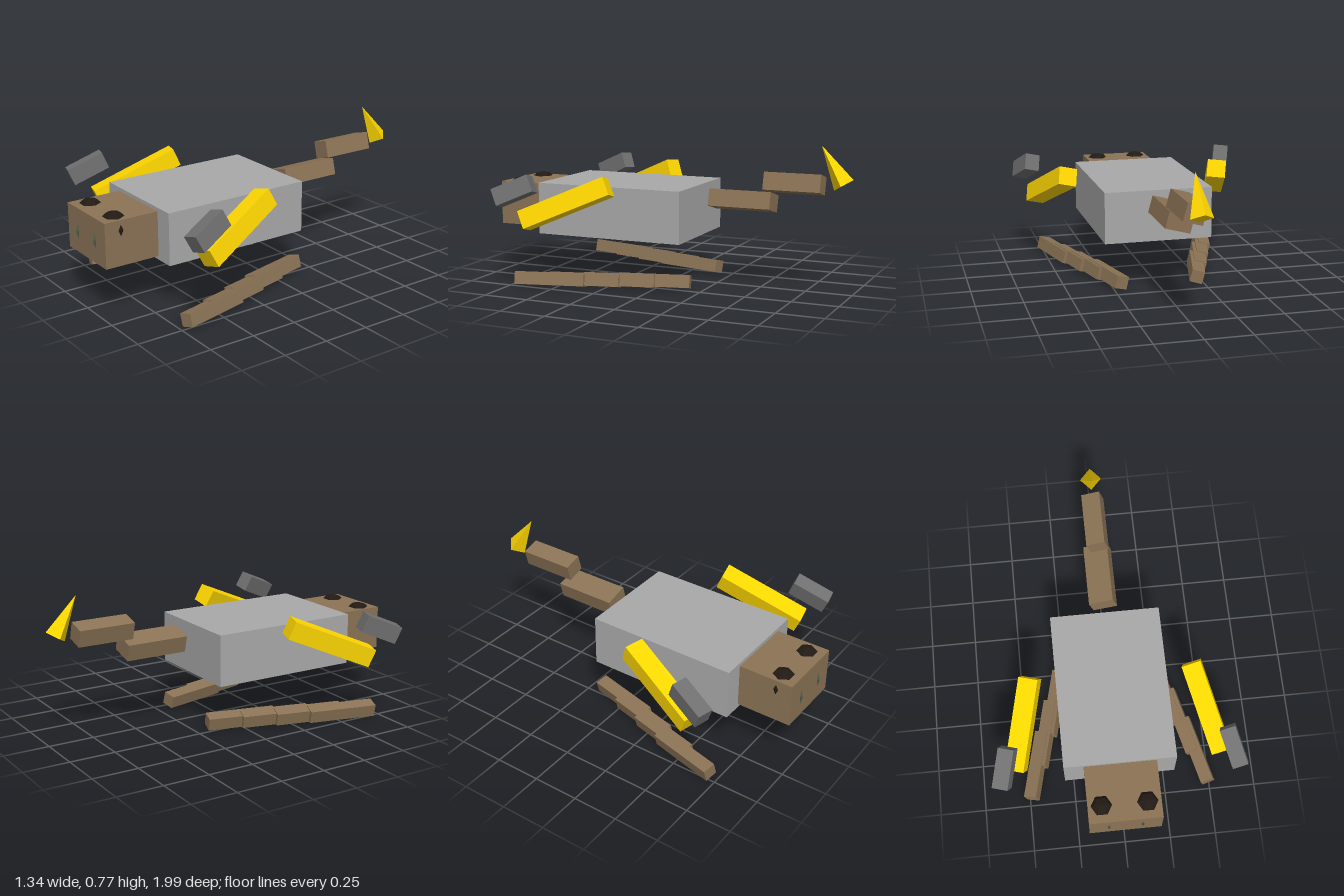
import * as THREE from 'three';

const mat = (color) => new THREE.MeshStandardMaterial({ color, flatShading: true });

export function createModel() {
  const model = new THREE.Group();
  const brown = mat(0x8b7355);
  const yellow = mat(0xffd700);
  const gold = mat(0xdaa520);
  const grey = mat(0xa9a9a9);
  const darkGrey = mat(0x707070);
  const black = mat(0x221a14);
  const green = mat(0x4a5a48);

  function add(name, geometry, material, position) {
    const mesh = new THREE.Mesh(geometry, material);
    mesh.name = name;
    mesh.position.set(...position);
    model.add(mesh);
    return mesh;
  }

  // Box whose length follows zDir and whose width leans along xHint
  function slantedBox(name, size, material, position, zDir, xHint) {
    const mesh = add(name, new THREE.BoxGeometry(...size), material, position);
    const z = new THREE.Vector3(...zDir).normalize();
    const y = z.clone().cross(new THREE.Vector3(...xHint)).normalize();
    const x = y.clone().cross(z);
    mesh.quaternion.setFromRotationMatrix(new THREE.Matrix4().makeBasis(x, y, z));
    return mesh;
  }

  // Body, belly plate and head
  add('body', new THREE.BoxGeometry(0.59, 0.28, 0.835), grey, [0, 0.395, 0.267]);
  add('bellyPlate', new THREE.BoxGeometry(0.45, 0.06, 0.625), gold, [0, 0.27, 0.342]);
  add('head', new THREE.BoxGeometry(0.382, 0.24, 0.31), brown, [0, 0.395, 0.83]);

  for (const [side, s] of [['left', 1], ['right', -1]]) {
    // Eyes bulging through the top and sides of the head
    add(side + 'Eye', new THREE.SphereGeometry(0.08, 6, 6), black, [s * 0.119, 0.461, 0.895]);

    // Slit marks on the front and lower edge of the snout
    add(side + 'Nostril', new THREE.OctahedronGeometry(1), green, [s * 0.088, 0.393, 0.985])
      .scale.set(0.009, 0.045, 0.012);
    add(side + 'ChinMark', new THREE.OctahedronGeometry(1), green, [s * 0.09, 0.275, 0.967])
      .scale.set(0.03, 0.009, 0.014);

    // Arms reach forward, down and out, each with its own roll
    const armDir = [s * 0.243, -0.385, 0.89];
    const armRoll = s > 0 ? [1, 0.25, -0.165] : [1, 0.08, 0.308];
    slantedBox(side + 'Arm', [0.104, 0.1, 0.494], yellow, [s * 0.488, 0.464, 0.41], armDir, armRoll);
    slantedBox(side + 'Hand', [0.084, 0.094, 0.21], darkGrey, [s * 0.595, 0.532, 0.655], armDir, armRoll);

    // Legs: four overlapping segments stepping forward and out
    for (let i = 0; i < 4; i++) {
      slantedBox(side + 'LegSegment' + (i + 1), [0.07, 0.069, 0.38], brown,
        [s * (0.255 + i * 0.0635), 0.0435, 0.005 + i * 0.176],
        [s * 0.237, 0, 0.97], [0.97, 0.26, -s * 0.237]);
    }
  }

  // Tail segments, rolled about their length
  slantedBox('tailBase', [0.135, 0.093, 0.345], brown, [0, 0.463, -0.395], [0, 0, 1], [0.966, 0.259, 0]);
  slantedBox('tailEnd', [0.103, 0.095, 0.31], brown, [0, 0.57, -0.678], [0, 0, 1], [0.966, 0.259, 0]);

  // Pointed tail tip
  const tip = add('tailTip', new THREE.ConeGeometry(0.059, 0.233, 4), yellow, [0, 0.675, -0.882]);
  tip.rotation.x = 0.54;

  return model;
}
